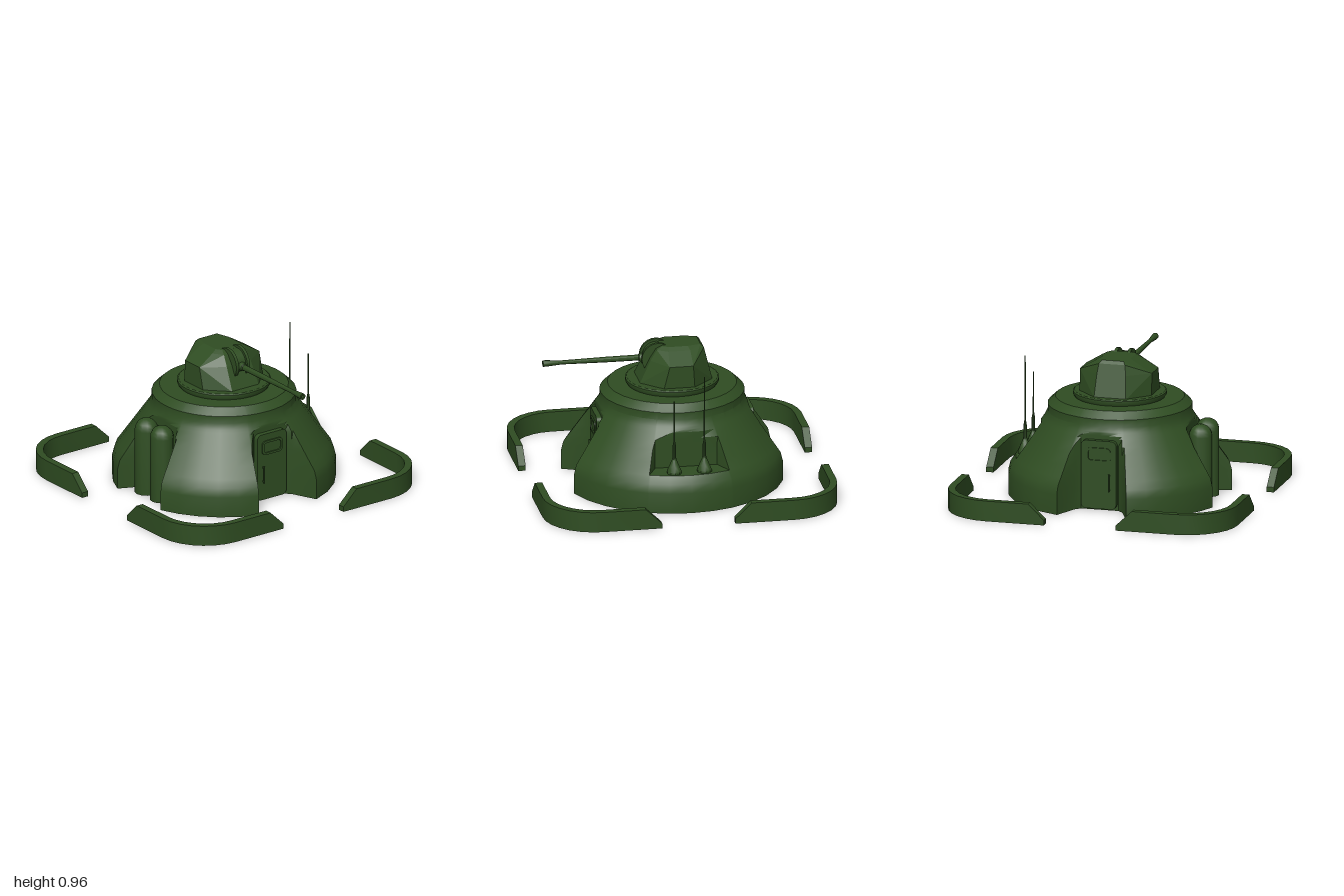
import * as THREE from 'three';
import { toCreasedNormals } from 'three/addons/utils/BufferGeometryUtils.js';
import { ConvexGeometry } from 'three/addons/geometries/ConvexGeometry.js';

const green = new THREE.MeshStandardMaterial({ color: 0x2f4d22 });

function add(parent, name, geometry, x = 0, y = 0, z = 0) {
  const mesh = new THREE.Mesh(geometry, green);
  mesh.name = name;
  mesh.position.set(x, y, z);
  parent.add(mesh);
  return mesh;
}

// Skin a list of closed rings (arrays of Vector3), skipping collapsed triangles
function skin(rings) {
  const pos = [], t = new THREE.Triangle();
  const tri = (a, b, c) => {
    if (t.set(a, b, c).getArea() > 1e-8) for (const p of [a, b, c]) pos.push(p.x, p.y, p.z);
  };
  for (let i = 0; i < rings.length - 1; i++) {
    const lo = rings[i], hi = rings[i + 1], n = lo.length;
    for (let j = 0; j < n; j++) {
      const k = (j + 1) % n;
      tri(lo[j], lo[k], hi[k]);
      tri(lo[j], hi[k], hi[j]);
    }
  }
  const g = new THREE.BufferGeometry();
  g.setAttribute('position', new THREE.Float32BufferAttribute(pos, 3));
  return toCreasedNormals(g, 0.5);
}

function lathe(points, segments, crease = 0.6) {
  const g = new THREE.LatheGeometry(points.map(p => new THREE.Vector2(...p)), segments);
  return toCreasedNormals(g, crease);
}

// Conical body: each column has a direction and a radius limit that carves the recesses
function bodyGeometry() {
  const cols = [];
  const recess = (turn, corner, pts, back) => {
    cols.push({ a: turn - corner, cap: 9 });
    for (const [x, z] of pts) cols.push({ a: turn + Math.atan2(x, z), cap: Math.hypot(x, z), back });
    cols.push({ a: turn + corner, cap: 9 });
  };
  const arc = (from, to, n) => {
    for (let i = 1; i < n; i++) cols.push({ a: from + (to - from) * i / n, cap: 9 });
  };
  const mirrored = half => [...half.map(([x, z]) => [-x, z]), [0, half[0][1] && half.at(-1)[1]], ...[...half].reverse()];
  const bay = mirrored([[0.165, 0.535], [0.13, 0.5], [0.065, 0.5]]);
  const shelf = mirrored([[0.21, 0.52], [0.105, 0.52]]);
  const q = Math.PI / 2, c = 0.327, s = 0.4;
  recess(0, c, bay);
  arc(c, q - c, 5);
  recess(q, c, bay);
  arc(q + c, 2 * q - s, 4);
  recess(2 * q, s, shelf, true);
  arc(2 * q + s, 3 * q - c, 4);
  recess(3 * q, c, bay);
  arc(3 * q + c, 4 * q - c, 5);

  // Rows of [radius, height]; the doubled row forms the floor of the rear shelf
  const cone = r => [r, 0.25 + (0.7 - r) * 0.28 / 0.195];
  const rows = [[0, 0], [0.75, 0], [0.75, 0.14], [0.735, 0.2], [0.7, 0.25], [0.7, 0.25, true],
    ...[0.65, 0.6, 0.561, 0.53, 0.517].map(cone),
    [0.505, 0.53], [0.5, 0.54], [0.485, 0.57], [0.485, 0.62], [0.433, 0.668], [0, 0.668]];
  return skin(rows.map(([r, y, shelfRow]) => cols.map(({ a, cap, back }) => {
    const limit = back && y <= 0.25 && !shelfRow ? 9 : cap;
    const rad = Math.min(r, limit);
    return new THREE.Vector3(rad * Math.sin(a), y, rad * Math.cos(a));
  })));
}

// Curved corner wall with sloped ends
function barrierGeometry() {
  const T = 0.05, R = 0.35, C = 0.65, H = 0.14, low = 0.035;
  const stations = [[0.25, 1, 0, low], [0.36, 1, 0, H]];
  for (let i = 0; i <= 7; i++) {
    const a = i / 7 * Math.PI / 2;
    stations.push([C + R * Math.sin(a), C + R * Math.cos(a), a, H]);
  }
  stations.push([1, 0.36, Math.PI / 2, H], [1, 0.25, Math.PI / 2, low]);
  const rings = stations.map(([x, z, a, h]) => {
    const ix = x - T * Math.sin(a), iz = z - T * Math.cos(a);
    return [[x, h, z], [x, 0, z], [ix, 0, iz], [ix, h, iz]].map(p => new THREE.Vector3(...p));
  });
  const cap = ring => {
    const m = ring.reduce((s, p) => s.add(p), new THREE.Vector3()).divideScalar(4);
    return ring.map(() => m);
  };
  return skin([cap(rings[0]), ...rings, cap(rings.at(-1))]);
}

function roundedRect(w, h, r, Type = THREE.Shape) {
  const s = new Type();
  const x = w / 2 - r, y = h / 2 - r, q = Math.PI / 2;
  s.absarc(x, y, r, 0, q);
  s.absarc(-x, y, r, q, 2 * q);
  s.absarc(-x, -y, r, 2 * q, 3 * q);
  s.absarc(x, -y, r, 3 * q, 4 * q);
  s.closePath();
  return s;
}

function extrude(shape, depth) {
  return new THREE.ExtrudeGeometry(shape, { depth, bevelEnabled: false, curveSegments: 5 });
}

function makeDoor(side) {
  const door = new THREE.Group();
  door.name = side > 0 ? 'leftDoor' : 'rightDoor';
  add(door, 'doorPanel', extrude(roundedRect(0.245, 0.47, 0.035), 0.04), 0, 0.25, -0.005);
  const frame = roundedRect(0.17, 0.1, 0.03);
  frame.holes.push(roundedRect(0.14, 0.07, 0.02, THREE.Path));
  add(door, 'windowFrame', extrude(frame, 0.01), 0, 0.387, 0.034);
  // Handle bar on two short posts
  const hx = -side * 0.075;
  add(door, 'handleBar', new THREE.CylinderGeometry(0.006, 0.006, 0.12, 8), hx, 0.2, 0.05);
  for (const y of [0.15, 0.25]) add(door, 'handlePost', new THREE.BoxGeometry(0.01, 0.01, 0.018), hx, y, 0.042);
  door.position.x = side * 0.5;
  door.rotation.y = side * Math.PI / 2;
  return door;
}

function makeTurret() {
  const turret = new THREE.Group();
  turret.name = 'turret';
  add(turret, 'turretRing', lathe([[0.3, 0.66], [0.315, 0.685], [0.315, 0.703], [0.305, 0.71], [0, 0.71]], 32));
  // Faceted housing: [height, front, front shoulder, rear shoulder, rear, half width, end half width]
  const levels = [
    [0.705, 0.24, 0.1, -0.11, -0.255, 0.25, 0.11],
    [0.86, 0.165, 0.06, -0.1, -0.217, 0.25, 0.1],
    [0.93, 0.12, 0.05, -0.1, -0.2, 0.135, 0.09],
    [0.95, 0.08, 0.04, -0.09, -0.18, 0.1, 0.075]];
  const pts = [];
  for (const [y, f, fs, rs, r, w, e] of levels)
    for (const s of [-1, 1])
      for (const [x, z] of [[f, e], [fs, w], [rs, w], [r, e]]) pts.push(new THREE.Vector3(x, y, s * z));
  add(turret, 'turretHousing', new ConvexGeometry(pts));

  // Gun mount: two cheek discs around a pivot drum
  const disc = (name, r, w, z) => {
    const g = new THREE.CylinderGeometry(r, r, w, 24).rotateX(Math.PI / 2);
    add(turret, name, g, 0.105, 0.855, z);
  };
  for (const s of [-1, 1]) disc('gunCheek', 0.11, 0.022, s * 0.046);
  disc('gunPivot', 0.092, 0.08, 0);
  const barrel = lathe([[0, 0.1], [0.03, 0.1], [0.03, 0.21], [0.026, 0.225], [0.02, 0.23], [0.019, 0.45], [0.014, 0.75],
    [0.015, 0.77], [0.022, 0.86], [0.022, 0.88], [0.012, 0.88], [0.01, 0.85], [0, 0.85]], 12);
  add(turret, 'gunBarrel', barrel, 0, 0.852, 0).rotation.z = -Math.PI / 2;
  return turret;
}

export function createModel() {
  const model = new THREE.Group();
  model.name = 'bunker';
  add(model, 'body', bodyGeometry());
  model.add(makeTurret(), makeDoor(1), makeDoor(-1));

  // Twin round-topped tanks in the front bay
  const tank = [[0, 0], [0.08, 0]];
  for (let i = 0; i <= 5; i++) {
    const a = i / 5 * Math.PI / 2;
    tank.push([0.08 * Math.cos(a), 0.45 + 0.08 * Math.sin(a)]);
  }
  for (const s of [-1, 1]) add(model, 'tank', lathe(tank, 12), s * 0.086, 0, 0.585);

  // Rear antennas of unequal length
  for (const [x, top] of [[-0.105, 0.92], [0.1, 0.76]]) {
    const profile = [[0.05, 0.25], [0.05, 0.265], [0.035, 0.3], [0.018, 0.34], [0.012, 0.36], [0.012, 0.44],
      [0.005, 0.48], [0.004, top], [0, top]];
    add(model, 'antenna', lathe(profile, 10), x, 0, -0.63);
  }

  // Four corner barriers
  const barrier = barrierGeometry();
  for (let i = 0; i < 4; i++) add(model, 'barrier', barrier).rotation.y = i * Math.PI / 2;
  return model;
}
